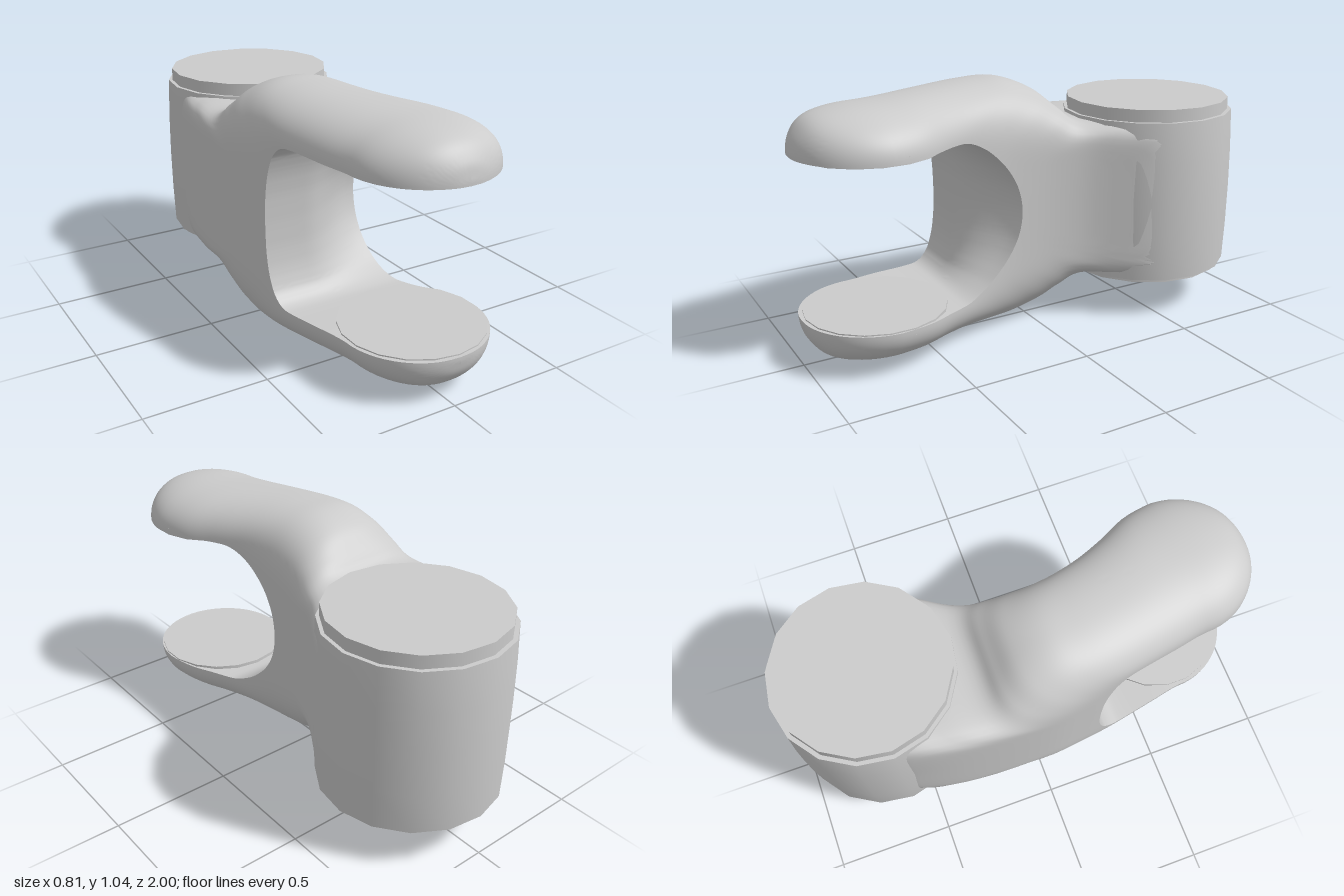
import * as THREE from 'three';
import { toCreasedNormals } from 'three/addons/utils/BufferGeometryUtils.js';

const MID = 0.525; // height of the symmetry plane
const material = new THREE.MeshStandardMaterial({ color: 0xcccccc });

// Plan outline of the fork, evenly spaced from z = -0.6 to z = 0.7
const spline = (values) => new THREE.SplineCurve(values.map((x, i) => new THREE.Vector2(i, x)));
const edgeRight = spline([-0.357, -0.377, -0.393, -0.402, -0.405, -0.4, -0.38, -0.355, -0.33, -0.305, -0.28]);
const edgeLeft = spline([0.35, 0.36, 0.285, 0.205, 0.165, 0.148, 0.148, 0.17, 0.22, 0.285, 0.312]);

function planX(z, u) {
  const t = THREE.MathUtils.clamp((z + 0.6) / 1.3, 0, 1);
  let a = edgeRight.getPoint(t).y, b = edgeLeft.getPoint(t).y;
  if (z > 0.7) { // rounded tip
    const s = Math.sqrt(Math.max(0, 1 - ((z - 0.7) / 0.3) ** 2));
    a = 0.015 + (a - 0.015) * s;
    b = 0.015 + (b - 0.015) * s;
  }
  return a + (b - a) * (u + 1) / 2;
}

// Stations round the C: inner z, inner height, outer z, outer height, squareness
const half = [
  [1, 0.324, 1, 0.338, 2.2],
  [0.98, 0.325, 0.98, 0.405, 2.2],
  [0.92, 0.325, 0.92, 0.467, 2.2],
  [0.8, 0.325, 0.8, 0.495, 2.2],
  [0.6, 0.327, 0.6, 0.503, 2.2],
  [0.42, 0.335, 0.4, 0.511, 2.2],
  [0.35, 0.328, 0.2, 0.52, 2.2],
  [0.305, 0.29, 0.06, 0.517, 2.3],
  [0.282, 0.24, -0.06, 0.472, 2.8],
  [0.268, 0.19, -0.14, 0.4, 4],
  [0.26, 0.14, -0.22, 0.337, 6],
  [0.256, 0.1, -0.42, 0.335, 8],
  [0.254, 0.05, -0.66, 0.3, 9],
];

function forkGeometry() {
  const lower = half.map(([a, b, c, d, n]) => [a, -b, c, -d, n]).reverse();
  const stations = [...half, [0.253, 0, -0.68, 0, 9], ...lower];
  const inner = new THREE.CatmullRomCurve3(stations.map((s) => new THREE.Vector3(0, s[1], s[0])), false, 'catmullrom');
  const outer = new THREE.CatmullRomCurve3(stations.map((s) => new THREE.Vector3(s[4], s[3], s[2])), false, 'catmullrom');

  const rows = (stations.length - 1) * 6, dome = 48, base = 18, cols = dome + base;
  const pos = [], index = [];
  for (let i = 0; i <= rows; i++) {
    const t = i / rows, I = inner.getPoint(t), O = outer.getPoint(t), n = O.x;
    const web = I.z < 0.42 ? Math.max(0, 1 - (I.y / 0.335) ** 2) : 0;
    for (let j = 0; j < cols; j++) {
      let u, v = 0;
      if (j <= dome) { // domed outside: a superellipse sampled by angle
        const a = Math.PI * j / dome, c = Math.cos(a), s = j === dome ? 0 : Math.sin(a);
        const r = (Math.abs(c) ** n + s ** n) ** (-1 / n);
        u = c * r;
        v = s * r;
      } else { // flat inside
        u = -1 + 2 * (j - dome) / base;
      }
      // the web face sweeps back towards the model's left
      const sweep = 0.165 * web * (1 - v) * THREE.MathUtils.smoothstep(u, -0.3, 1.1);
      const z = I.z + (O.z - I.z) * v - sweep;
      pos.push(planX(z, u), MID + I.y + (O.y - I.y) * v, z);
      if (i < rows) {
        const p = i * cols + j, q = i * cols + (j + 1) % cols;
        index.push(p, p + cols, q, q, p + cols, q + cols);
      }
    }
  }
  const g = new THREE.BufferGeometry();
  g.setAttribute('position', new THREE.Float32BufferAttribute(pos, 3));
  g.setIndex(index);
  return toCreasedNormals(g, 0.8);
}

export function createModel() {
  const group = new THREE.Group();
  const add = (name, geometry, x = 0, y = 0, z = 0) => {
    const mesh = new THREE.Mesh(geometry, material);
    mesh.name = name;
    mesh.position.set(x, y, z);
    group.add(mesh);
  };

  add('fork', forkGeometry());

  // Slightly barrelled hub with a disc through it
  const turn = 0.05;
  const profile = [[0, 0.18], [0.373, 0.18], [0.379, 0.35], [0.381, 0.53], [0.379, 0.7], [0.372, 0.872], [0, 0.872]];
  const hub = new THREE.LatheGeometry(profile.map(([r, y]) => new THREE.Vector2(r, y)), 16, turn);
  add('hub', toCreasedNormals(hub, 0.7), 0.021, 0, -0.62);
  add('hubCap', new THREE.CylinderGeometry(0.356, 0.356, 0.76, 16, 1, false, turn), 0.021, 0.545, -0.618);

  // Facing contact pads at the ends of the arms
  for (const [name, side] of [['upperPad', 1], ['lowerPad', -1]]) {
    add(name, new THREE.CylinderGeometry(0.288, 0.288, 0.03, 18), 0.02, MID + side * 0.335, 0.698);
  }
  return group;
}
